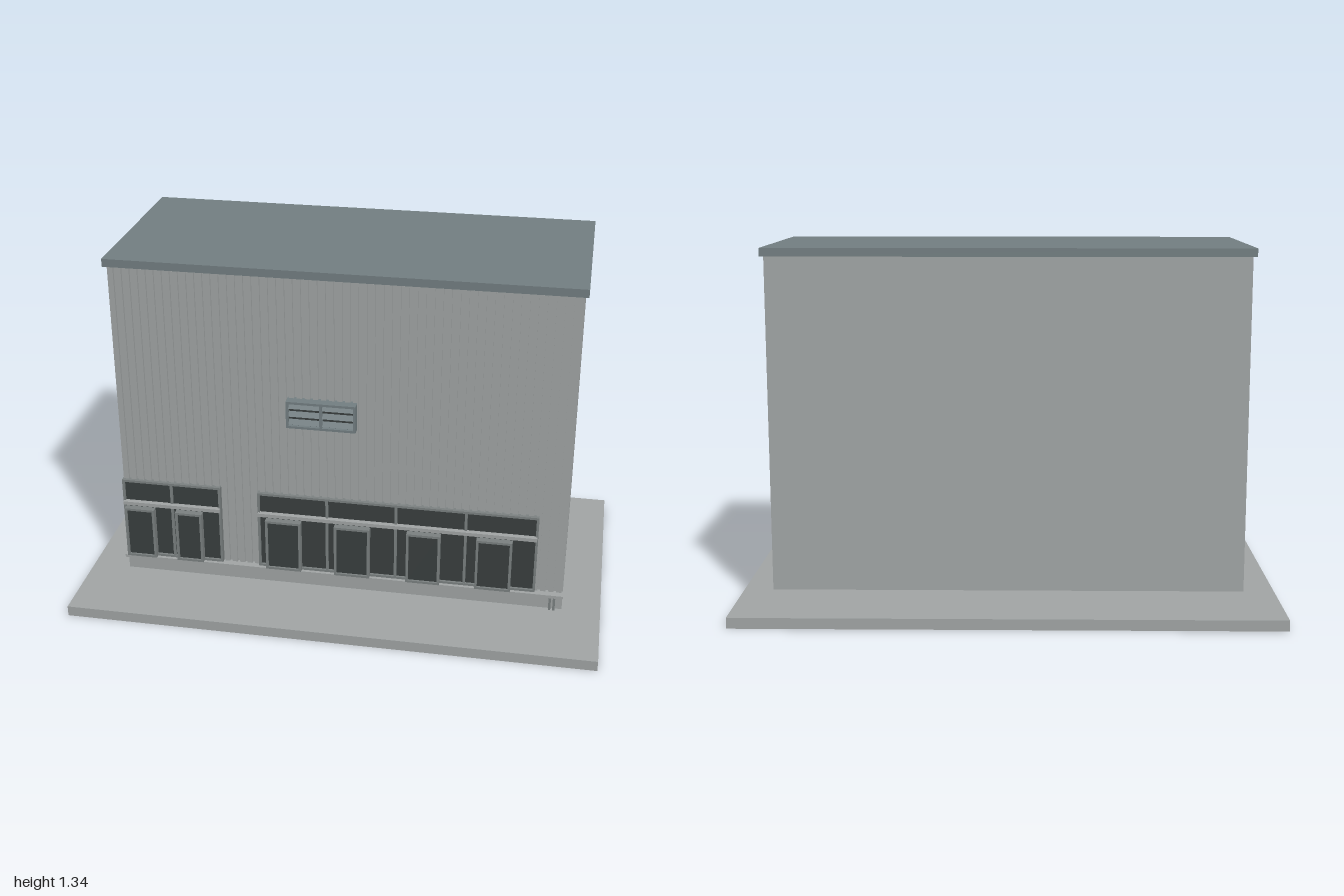
import * as THREE from 'three';

const mat = (name, color) => {
  const m = new THREE.MeshStandardMaterial({ color });
  m.name = name;
  return m;
};

export function createModel() {
  const concrete = mat('concrete grey', 0xa3a7a7);
  const slate = mat('slate grey', 0x748083);
  const frameGrey = mat('frame grey', 0x7c8282);
  const glassDark = mat('dark glass', 0x3a4040);

  const model = new THREE.Group();
  model.name = 'building';

  // Box given by its limits on each axis
  const box = (parent, name, material, x0, x1, y0, y1, z0, z1) => {
    const mesh = new THREE.Mesh(new THREE.BoxGeometry(x1 - x0, y1 - y0, z1 - z0), material);
    mesh.position.set((x0 + x1) / 2, (y0 + y1) / 2, (z0 + z1) / 2);
    mesh.name = name;
    parent.add(mesh);
    return mesh;
  };

  const group = (name) => {
    const g = new THREE.Group();
    g.name = name;
    model.add(g);
    return g;
  };

  // Rectangular frame with an open middle, extruded from z0 to z1
  const frame = (parent, name, material, x0, x1, y0, y1, z0, z1, t) => {
    const rect = (s, a, b, c, d) => s.moveTo(a, c).lineTo(b, c).lineTo(b, d).lineTo(a, d).closePath();
    const shape = rect(new THREE.Shape(), x0, x1, y0, y1);
    shape.holes.push(rect(new THREE.Path(), x0 + t, x1 - t, y0 + t, y1 - t));
    const mesh = new THREE.Mesh(
      new THREE.ExtrudeGeometry(shape, { depth: z1 - z0, bevelEnabled: false }), material);
    mesh.position.z = z0;
    mesh.name = name;
    parent.add(mesh);
  };

  // Ground slab, main block, front plinth and roof
  box(model, 'groundSlab', concrete, -1, 1, 0, 0.04, -0.593, 0.593);
  box(model, 'mainBlock', concrete, -0.855, 0.855, 0.10, 1.31, -0.445, 0.268);
  box(model, 'plinth', concrete, -0.855, 0.855, 0.04, 0.10, 0.223, 0.279);
  box(model, 'roof', slate, -0.868, 0.868, 1.31, 1.34, -0.46, 0.283);

  // Ribbed cladding on the front
  const cladding = group('cladding');
  const count = 57, pitch = 1.71 / count;
  for (let i = 0; i < count; i++) {
    const x = -0.855 + i * pitch;
    box(cladding, 'rib', concrete, x + 0.005, x + 0.025, 0.10, 1.308, 0.266, 0.278);
  }

  // Sill along the shopfront and small posts under its end
  box(model, 'sill', concrete, -0.86, 0.857, 0.10, 0.112, 0.266, 0.304);
  for (const x of [0.804, 0.82]) box(model, 'sillPost', frameGrey, x, x + 0.009, 0.04, 0.10, 0.279, 0.294);

  // Glazed shopfront: outer frame, mullions, transom ledge and raised doors
  const shopfront = (name, x0, x1, top, mullions, doors) => {
    const g = group(name);
    box(g, 'glass', glassDark, x0 + 0.004, x1 - 0.004, 0.114, top - 0.004, 0.274, 0.282);
    frame(g, 'outerFrame', frameGrey, x0, x1, 0.112, top, 0.27, 0.291, 0.009);
    for (const x of mullions) box(g, 'mullion', frameGrey, x - 0.005, x + 0.005, 0.112, top - 0.005, 0.275, 0.29);
    box(g, 'transomLedge', concrete, x0 + 0.003, x1 - 0.003, 0.338, 0.352, 0.275, 0.302);
    for (const [a, b] of doors) {
      frame(g, 'doorFrame', frameGrey, a, b, 0.112, 0.325, 0.28, 0.308, 0.009);
      box(g, 'doorGlass', glassDark, a + 0.006, b - 0.006, 0.117, 0.32, 0.282, 0.3);
    }
  };
  shopfront('smallShopfront', -0.855, -0.465, 0.442, [-0.66],
    [[-0.848, -0.73], [-0.645, -0.54]]);
  shopfront('largeShopfront', -0.32, 0.75, 0.435, [-0.05, 0.215, 0.48],
    [[-0.288, -0.15], [-0.02, 0.117], [0.258, 0.387], [0.522, 0.657]]);

  // Louvred vent
  const vent = group('vent');
  box(vent, 'ventBack', glassDark, -0.19, 0.06, 0.74, 0.836, 0.27, 0.295);
  frame(vent, 'ventFrame', slate, -0.195, 0.065, 0.735, 0.842, 0.266, 0.313, 0.009);
  box(vent, 'ventDivider', slate, -0.07, -0.06, 0.74, 0.836, 0.28, 0.312);
  for (let i = 0; i < 3; i++) {
    const y = 0.757 + i * 0.032;
    const slat = box(vent, 'slat', slate, -0.188, 0.058, y - 0.011, y + 0.011, 0.299, 0.304);
    slat.rotation.x = -0.5;
  }

  return model;
}
